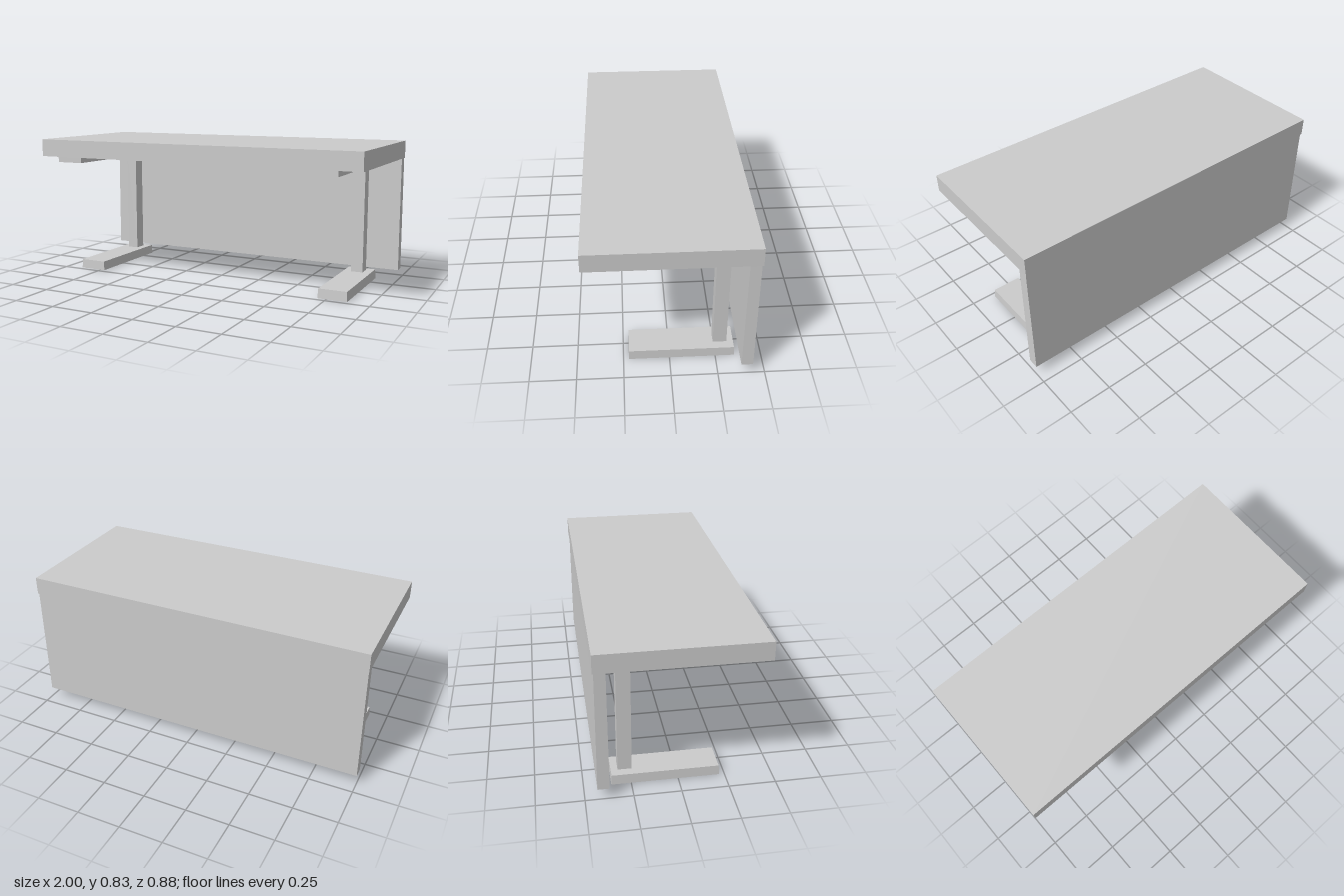
import * as THREE from 'three';

const material = new THREE.MeshStandardMaterial({ color: 0xcccccc, flatShading: true });

function addMesh(parent, name, geometry, x, y, z) {
  const mesh = new THREE.Mesh(geometry, material);
  mesh.name = name;
  mesh.position.set(x, y, z);
  parent.add(mesh);
  return mesh;
}

// Corners of a rectangle centred on (0, cz)
function rectangle(w, d, cz = 0) {
  return [[-w, -d], [w, -d], [w, d], [-w, d]].map(([x, z]) => new THREE.Vector2(x / 2, cz + z / 2));
}

// Upright rectangular tube standing on y = 0; holeZ shifts the opening toward +z.
// flare widens the bottom edge slightly.
function tube(w, h, d, holeW, holeD, holeZ = 0, flare = 0) {
  const shape = new THREE.Shape(rectangle(w, d));
  shape.holes.push(new THREE.Path(rectangle(holeW, holeD, -holeZ)));
  const geometry = new THREE.ExtrudeGeometry(shape, { depth: h, bevelEnabled: false });
  geometry.rotateX(-Math.PI / 2);
  const p = geometry.attributes.position;
  for (let i = 0; i < p.count; i++) {
    const k = flare * (1 - p.getY(i) / h);
    p.setX(i, p.getX(i) + Math.sign(p.getX(i)) * k);
    p.setZ(i, p.getZ(i) + Math.sign(p.getZ(i)) * k);
  }
  geometry.computeVertexNormals();
  return geometry;
}

function createLeg(name, x) {
  const leg = new THREE.Group();
  leg.name = name;
  leg.position.x = x;
  const footZ = -0.067, postZ = -0.278;
  const postW = 0.07, postD = 0.075, boreW = 0.045, boreD = 0.05;

  // Hollow foot: tapered rim and a top plate bored for the post
  addMesh(leg, 'footRim', tube(0.164, 0.055, 0.57, 0.134, 0.54, 0, 0.003), 0, 0, footZ);
  addMesh(leg, 'footPlate', tube(0.136, 0.012, 0.542, boreW, boreD, postZ - footZ), 0, 0.043, footZ);

  // Hollow post
  addMesh(leg, 'post', tube(postW, 0.645, postD, boreW, boreD), 0, 0.055, postZ);

  // Support rail under the top
  addMesh(leg, 'supportRail', new THREE.BoxGeometry(0.165, 0.035, 0.8), 0, 0.7175, 0.025);
  return leg;
}

export function createModel() {
  const desk = new THREE.Group();
  desk.name = 'desk';

  addMesh(desk, 'desktop', new THREE.BoxGeometry(2, 0.102, 0.88), 0, 0.784, 0);

  // Back panel, hollow and open along the bottom
  addMesh(desk, 'backPanel', tube(1.994, 0.673, 0.058, 1.97, 0.034, 0, 0.002), 0, 0.06, -0.404);

  desk.add(createLeg('rightLeg', -0.809), createLeg('leftLeg', 0.784));
  return desk;
}
